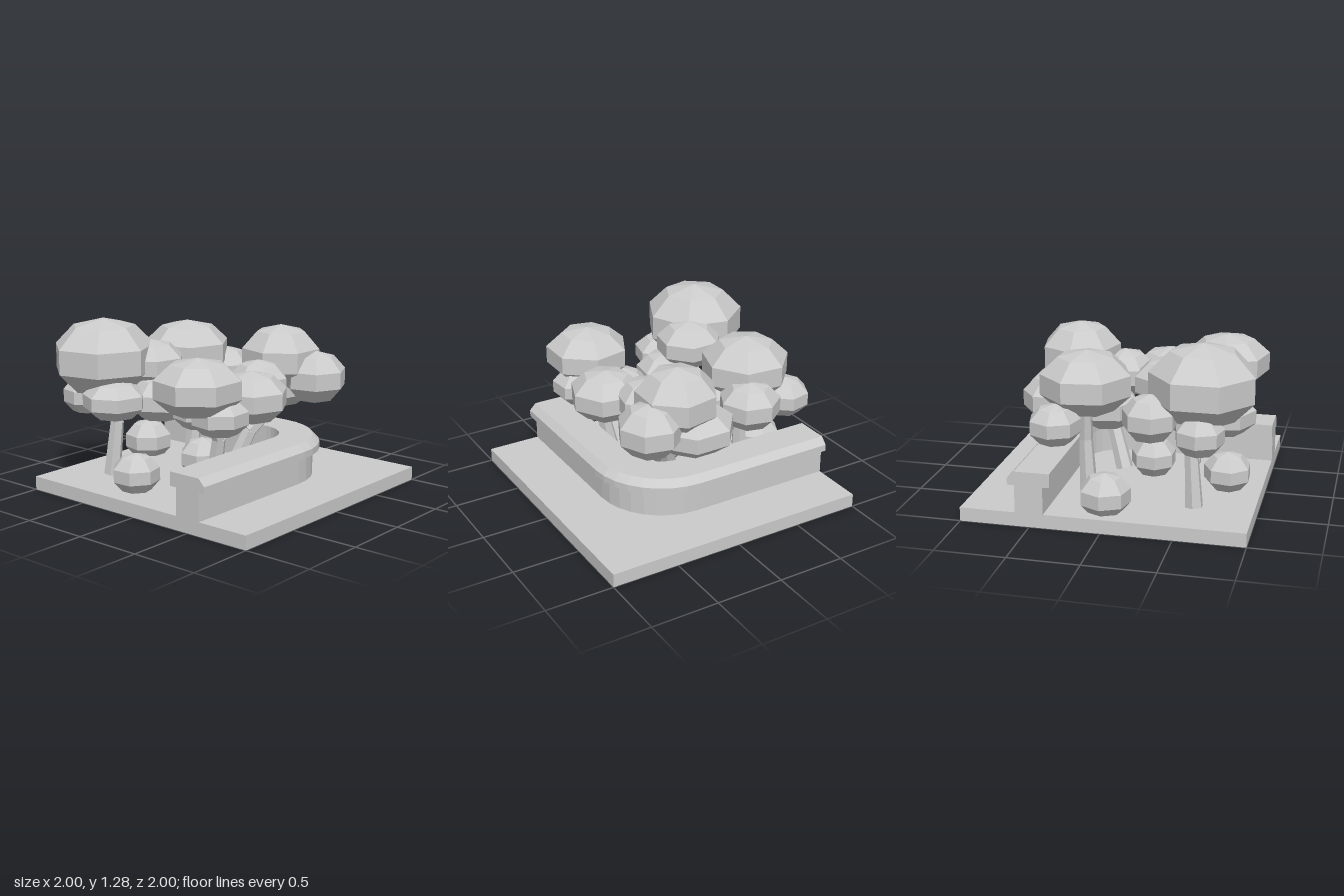
import * as THREE from 'three';

const material = new THREE.MeshStandardMaterial({ color: 0xcccccc, flatShading: true });

function addMesh(parent, geometry, name) {
  const mesh = new THREE.Mesh(geometry, material);
  mesh.name = name;
  parent.add(mesh);
  return mesh;
}

// Wall cross-section: distance from the corner centre, height
const wallProfile = [
  [0.3, 0.1], [0.5, 0.1], [0.5, 0.3], [0.55, 0.3], [0.55, 0.35],
  [0.5, 0.4], [0.25, 0.4], [0.25, 0.3], [0.3, 0.3],
];

// Sweeps the cross-section along the front, round the corner and along the side
function wallGeometry() {
  const centre = 0.1, arcSteps = 8;
  const stations = [{ angle: Math.PI / 2, x: -1, z: centre }];
  for (let i = 0; i <= arcSteps; i++) {
    stations.push({ angle: (Math.PI / 2) * (1 - i / arcSteps), x: centre, z: centre });
  }
  stations.push({ angle: 0, x: centre, z: -1 });

  const positions = [];
  const put = (s, [d, y]) =>
    positions.push(s.x + d * Math.cos(s.angle), y, s.z + d * Math.sin(s.angle));
  for (let i = 0; i < stations.length - 1; i++) {
    const a = stations[i], b = stations[i + 1];
    wallProfile.forEach((p, j) => {
      const q = wallProfile[(j + 1) % wallProfile.length];
      put(a, p); put(b, p); put(b, q);
      put(a, p); put(b, q); put(a, q);
    });
  }
  // End faces
  const contour = wallProfile.map(([d, y]) => new THREE.Vector2(d, y));
  const last = stations[stations.length - 1];
  for (const [i, j, k] of THREE.ShapeUtils.triangulateShape(contour, [])) {
    for (const n of [i, j, k]) put(stations[0], wallProfile[n]);
    for (const n of [k, j, i]) put(last, wallProfile[n]);
  }
  const geometry = new THREE.BufferGeometry();
  geometry.setAttribute('position', new THREE.Float32BufferAttribute(positions, 3));
  geometry.computeVertexNormals();
  return geometry;
}

// Squashed seven-sided leaf clump; angle is the direction of one corner in plan
function addClump(parent, name, [x, y, z, radius, halfHeight, angle = 90]) {
  const geometry = new THREE.SphereGeometry(1, 7, 5);
  geometry.rotateY(Math.PI - THREE.MathUtils.degToRad(angle));
  geometry.scale(radius, halfHeight, radius);
  addMesh(parent, geometry, name).position.set(x, y, z);
}

// Tapered limb between successive points
function addTrunk(parent, points, baseRadius, topRadius) {
  const pts = points.map((p) => new THREE.Vector3(...p));
  const count = pts.length - 1;
  for (let i = 0; i < count; i++) {
    const r0 = THREE.MathUtils.lerp(baseRadius, topRadius, i / count);
    const r1 = THREE.MathUtils.lerp(baseRadius, topRadius, (i + 1) / count);
    const along = pts[i + 1].clone().sub(pts[i]);
    const limb = addMesh(parent, new THREE.CylinderGeometry(r1, r0, along.length(), 6), 'trunk');
    limb.position.copy(pts[i]).addScaledVector(along, 0.5);
    limb.quaternion.setFromUnitVectors(new THREE.Vector3(0, 1, 0), along.normalize());
  }
}

// Trees: trunk path, then crown and side clumps as x, y, z, radius, half height, corner angle
const trees = [
  {
    name: 'backRightTree',
    trunk: [[-0.58, 0.1, -0.62], [-0.55, 0.5, -0.59], [-0.61, 0.95, -0.62]],
    clumps: [
      [-0.63, 0.99, -0.63, 0.39, 0.29, 90],
      [-0.36, 0.93, -0.42, 0.26, 0.18, 75],
      [-0.74, 0.72, -0.42, 0.24, 0.15, 180],
      [-0.43, 0.7, -0.26, 0.24, 0.17, 20],
      [-0.64, 0.69, -0.81, 0.18, 0.15, 270],
      [-0.3, 0.78, -0.79, 0.2, 0.17, 0],
    ],
  },
  {
    name: 'backLeftTree',
    trunk: [[0.2, 0.1, -0.52], [0.22, 0.5, -0.51], [0.2, 0.9, -0.56]],
    clumps: [
      [0.2, 0.93, -0.56, 0.34, 0.235, 82],
      [0.47, 0.76, -0.42, 0.235, 0.18, 40],
      [0.1, 0.7, -0.34, 0.23, 0.17, 80],
      [0.36, 0.69, -0.81, 0.19, 0.15, 270],
    ],
  },
  {
    name: 'frontLeftTree',
    trunk: [[0.06, 0.1, 0.0], [0.16, 0.4, 0.09], [0.3, 0.56, 0.18], [0.42, 0.85, 0.18]],
    clumps: [
      [0.43, 0.93, 0.17, 0.31, 0.25, -88],
      [0.48, 0.71, 0.07, 0.32, 0.18, 25],
      [0.51, 0.8, 0.43, 0.245, 0.2, 90],
      [0.1, 0.79, 0.22, 0.23, 0.18, -80],
    ],
  },
  {
    name: 'frontRightTree',
    trunk: [[-0.42, 0.1, 0.22], [-0.44, 0.5, 0.3], [-0.6, 0.85, 0.3]],
    clumps: [
      [-0.66, 0.9, 0.3, 0.325, 0.21, -90],
      [-0.2, 0.765, 0.39, 0.28, 0.19, 85],
      [-0.57, 0.7, 0.42, 0.21, 0.145, 60],
      [-0.44, 0.67, 0.11, 0.19, 0.14, -90],
    ],
  },
];

// Low bushes on the ground
const bushes = [
  [0.01, 0.21, -0.81, 0.19, 0.16, 270],
  [-0.75, 0.22, -0.21, 0.18, 0.15, 100],
  [-0.18, 0.24, -0.08, 0.175, 0.15, 0],
];

export function createModel() {
  const model = new THREE.Group();
  model.name = 'gardenCorner';

  addMesh(model, new THREE.BoxGeometry(2, 0.1, 2), 'groundSlab').position.y = 0.05;
  addMesh(model, wallGeometry(), 'planterWall');

  for (const { name, trunk, clumps } of trees) {
    const tree = new THREE.Group();
    tree.name = name;
    addTrunk(tree, trunk, 0.065, 0.035);
    clumps.forEach((c, i) => addClump(tree, i === 0 ? 'crown' : 'leafClump', c));
    model.add(tree);
  }
  bushes.forEach((b) => addClump(model, 'bush', b));
  return model;
}
